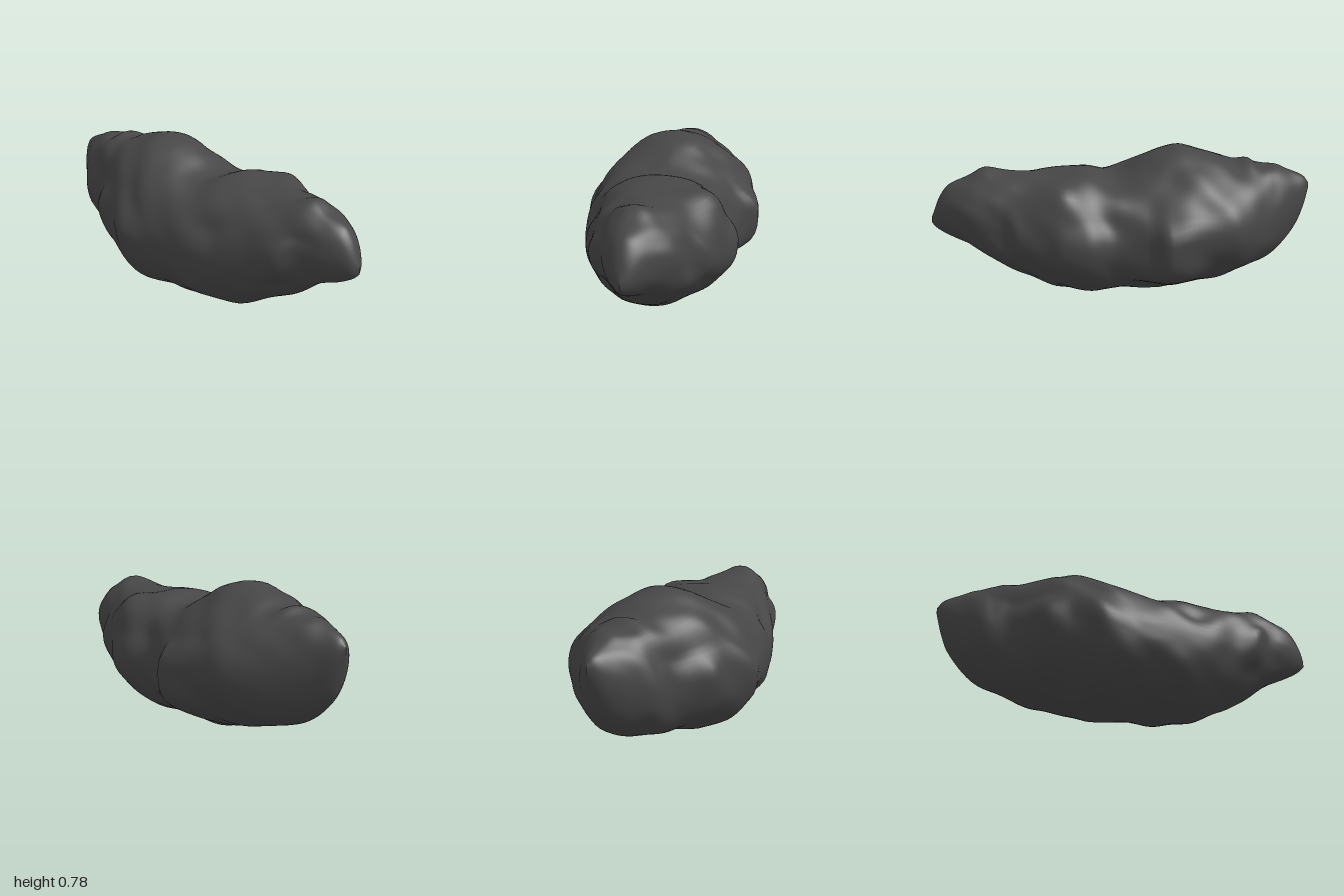
import * as THREE from 'three';

// Outline profiles along the length: [x, value]
const TOP = [[-1, .56], [-.97, .60], [-.88, .64], [-.8, .67], [-.73, .67], [-.66, .705], [-.6, .69], [-.5, .73], [-.4, .76], [-.31, .78],
  [-.2, .755], [-.1, .71], [0, .65], [.06, .635], [.2, .675], [.4, .655], [.6, .66], [.71, .685], [.8, .64], [.9, .60], [.95, .54], [1, .42]];
const BOTTOM = [[-1, .53], [-.97, .42], [-.93, .32], [-.8, .18], [-.7, .13], [-.5, .08], [-.4, .06], [-.3, .03], [-.18, 0], [0, .015],
  [.2, .025], [.35, .03], [.5, .10], [.65, .17], [.8, .28], [.9, .32], [.97, .36], [1, .39]];
const FRONT = [[-1, 0], [-.98, .04], [-.93, .09], [-.85, .15], [-.75, .22], [-.65, .23], [-.55, .30], [-.45, .38], [-.35, .385], [-.18, .465],
  [0, .42], [.2, .385], [.4, .33], [.55, .26], [.66, .24], [.75, .16], [.85, .12], [.95, .06], [.98, .035], [1, 0]];
const BACK = [[-1, 0], [-.98, .04], [-.9, .11], [-.8, .20], [-.7, .28], [-.54, .395], [-.4, .42], [-.25, .465], [-.2, .47], [-.12, .40],
  [.06, .37], [.2, .415], [.32, .40], [.4, .36], [.55, .32], [.62, .25], [.77, .21], [.9, .11], [.98, .04], [1, 0]];

// Hollows and bumps: [x, angle in degrees (0 front, 90 top), size, relative height]
const DENTS = [
  // front
  [-.52, 22, .12, -.14], [-.2, 25, .16, -.07], [-.7, 50, .12, .04], [.33, 30, .09, -.06], [.72, 22, .1, -.07],
  [.08, 50, .16, .04], [-.25, -45, .25, .04], [.25, -45, .25, .04], [.7, -40, .12, -.07],
  // upper back, with a shelf behind the saddle
  [.34, 130, .14, .17], [.1, 155, .1, -.06], [.56, 135, .1, -.04], [-.3, 132, .25, -.11], [-.25, 160, .12, -.05],
  // lower back, with a slanting groove
  [-.2, 207, .15, .11], [-.15, 232, .2, -.1], [.38, 212, .1, -.07], [.48, 240, .11, -.07], [.75, 215, .14, .05],
];

// Smooth interpolation of a profile, with overshoot kept out
function sample(profile, x) {
  const n = profile.length;
  let i = 0;
  while (i < n - 2 && x > profile[i + 1][0]) i++;
  const slope = k => (profile[k + 1][1] - profile[k][1]) / (profile[k + 1][0] - profile[k][0]);
  const tangent = k => {
    if (k === 0) return slope(0);
    if (k === n - 1) return slope(n - 2);
    const a = slope(k - 1), b = slope(k);
    return a * b <= 0 ? 0 : 2 * a * b / (a + b);
  };
  const [x0, y0] = profile[i], [x1, y1] = profile[i + 1];
  const h = x1 - x0, t = (x - x0) / h, t2 = t * t, t3 = t2 * t;
  return (2 * t3 - 3 * t2 + 1) * y0 + (t3 - 2 * t2 + t) * h * tangent(i)
    + (3 * t2 - 2 * t3) * y1 + (t3 - t2) * h * tangent(i + 1);
}

// Profile averaged over a stretch that narrows towards the tips
function soften(profile, x) {
  const reach = .13 * Math.min(1, (1 - Math.abs(x)) * 3);
  let sum = 0;
  for (let k = -3; k <= 3; k++) sum += sample(profile, x + reach * k / 3);
  return sum / 7;
}

// Relative surface relief, fading out on the four outline directions
function relief(x, a) {
  let r = 0;
  for (const [cx, deg, size, height] of DENTS) {
    const c = deg * Math.PI / 180;
    const da = Math.atan2(Math.sin(a - c), Math.cos(a - c)) * .4;
    r += height * Math.exp(-((x - cx) ** 2 + da * da) / (size * size));
  }
  r += .014 * Math.sin(13 * x + 3 * a) + .012 * Math.sin(19 * x - 5 * a + 1) + .008 * Math.sin(8 * a + 27 * x);
  return r * Math.min(1, 1.3 * Math.abs(Math.sin(2 * a))) * Math.min(1, (1 - Math.abs(x)) * 5);
}

function rockGeometry(rows = 110, sides = 72) {
  const pos = [], index = [];
  const profiles = [TOP, BOTTOM, FRONT, BACK];
  for (let i = 0; i <= rows; i++) {
    const t = i / rows;
    const x = -.6 * Math.cos(Math.PI * t) + .4 * (2 * t - 1); // rows gather at the tips
    const sharp = profiles.map(p => sample(p, x));
    const soft = profiles.map(p => soften(p, x));
    for (let j = 0; j < sides; j++) {
      const a = j / sides * Math.PI * 2, c = Math.cos(a), s = Math.sin(a);
      // Outline detail belongs to the four outline directions, softer shape lies between
      const w = Math.sin(2 * a) ** 2;
      const [top, bottom, front, back] = sharp.map((v, n) => v + (soft[n] - v) * w);
      const k = 1 + relief(x, a);
      pos.push(x, (top + bottom) / 2 + (top - bottom) / 2 * s * k, (c > 0 ? front : back) * c * k);
    }
  }
  for (let i = 0; i < rows; i++) {
    for (let j = 0; j < sides; j++) {
      const a = i * sides + j, d = i * sides + (j + 1) % sides;
      const b = a + sides, e = d + sides;
      index.push(a, b, d, b, e, d);
    }
  }
  const geometry = new THREE.BufferGeometry();
  geometry.setAttribute('position', new THREE.Float32BufferAttribute(pos, 3));
  geometry.setIndex(index);
  geometry.computeVertexNormals();
  return geometry;
}

export function createModel() {
  const group = new THREE.Group();
  group.name = 'asteroid';
  const rock = new THREE.Mesh(rockGeometry(), new THREE.MeshStandardMaterial({ color: 0x464646 }));
  rock.name = 'rock';
  group.add(rock);
  return group;
}
